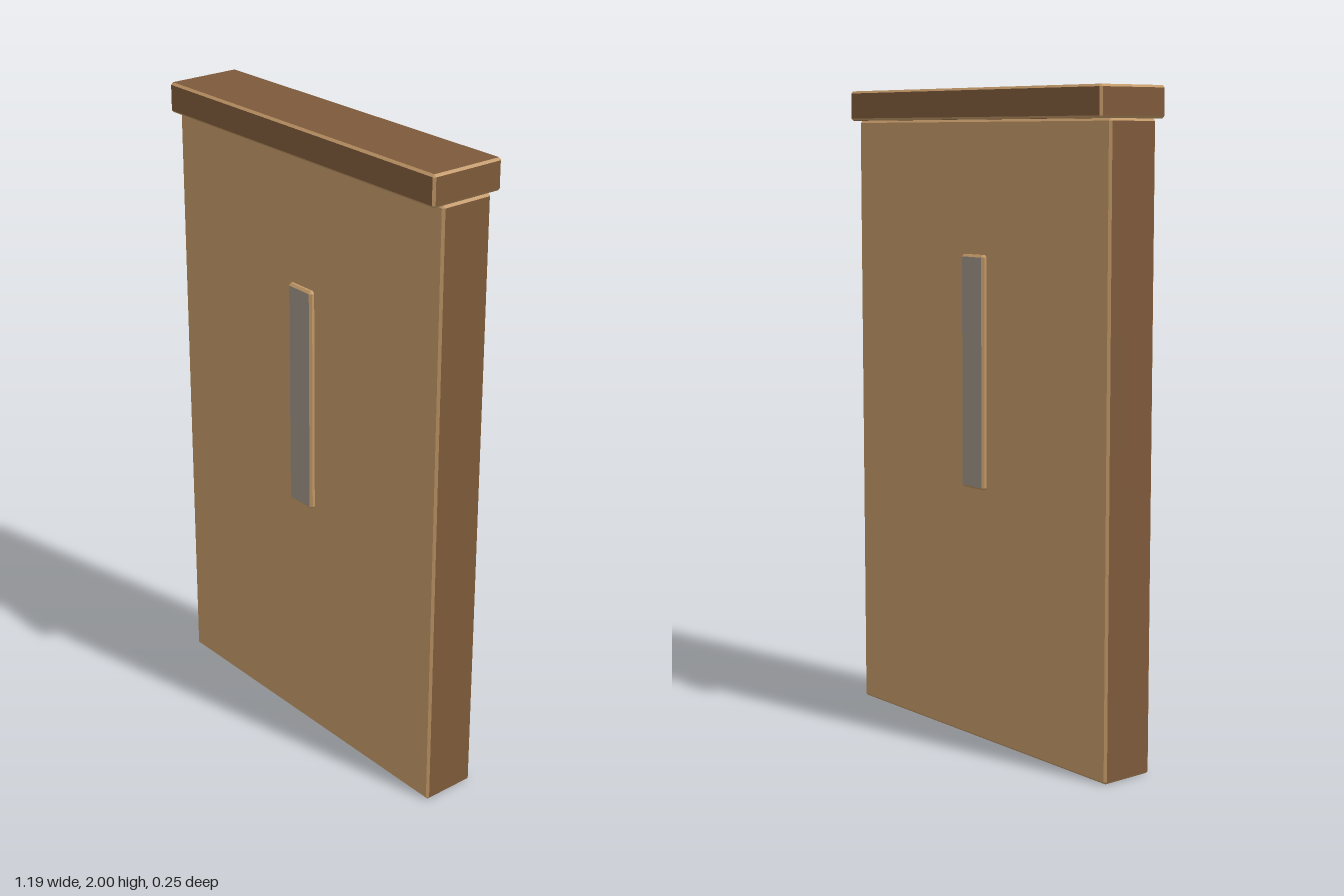
import * as THREE from 'three';
import { ConvexGeometry } from 'three/addons/geometries/ConvexGeometry.js';

function material(name, color) {
  const m = new THREE.MeshStandardMaterial({ color });
  m.name = name;
  return m;
}

// Box with chamfered edges; materials are [x and y faces, z faces, chamfers]
function chamferedBox(name, [w, h, d], y, bevel, materials) {
  const points = [];
  for (const sx of [-1, 1]) for (const sy of [-1, 1]) for (const sz of [-1, 1]) {
    for (let axis = 0; axis < 3; axis++) {
      const inset = [0, 1, 2].map((i) => (i === axis ? 0 : bevel));
      points.push(new THREE.Vector3(
        sx * (w / 2 - inset[0]), sy * (h / 2 - inset[1]), sz * (d / 2 - inset[2])));
    }
  }
  const geometry = new ConvexGeometry(points);
  const normal = geometry.attributes.normal;
  for (let i = 0; i < normal.count; i += 3) {
    const n = [normal.getX(i), normal.getY(i), normal.getZ(i)].map(Math.abs);
    const flat = Math.max(...n) > 0.98;
    geometry.addGroup(i, 3, !flat ? 2 : n[2] > 0.98 ? 1 : 0);
  }
  const mesh = new THREE.Mesh(geometry, materials);
  mesh.name = name;
  mesh.position.y = y + h / 2;
  return mesh;
}

export function createModel() {
  const tan = material('tan wood', 0xc09666);
  const brown = material('brown wood', 0x7d593a);
  const grey = material('grey inlay', 0x9b9184);

  const group = new THREE.Group();
  group.name = 'woodenPanel';
  group.add(
    // Upright slab: tan broad faces, brown edges
    chamferedBox('slab', [1.19, 1.907, 0.176], 0, 0.007, [brown, tan, tan]),
    // Overhanging cap rail
    chamferedBox('capRail', [1.19, 0.093, 0.248], 1.907, 0.007, [brown, brown, tan]),
    // Upright inlay showing on both broad faces
    chamferedBox('inlay', [0.106, 0.715, 0.206], 0.79, 0.007, [tan, grey, tan]),
  );
  return group;
}
